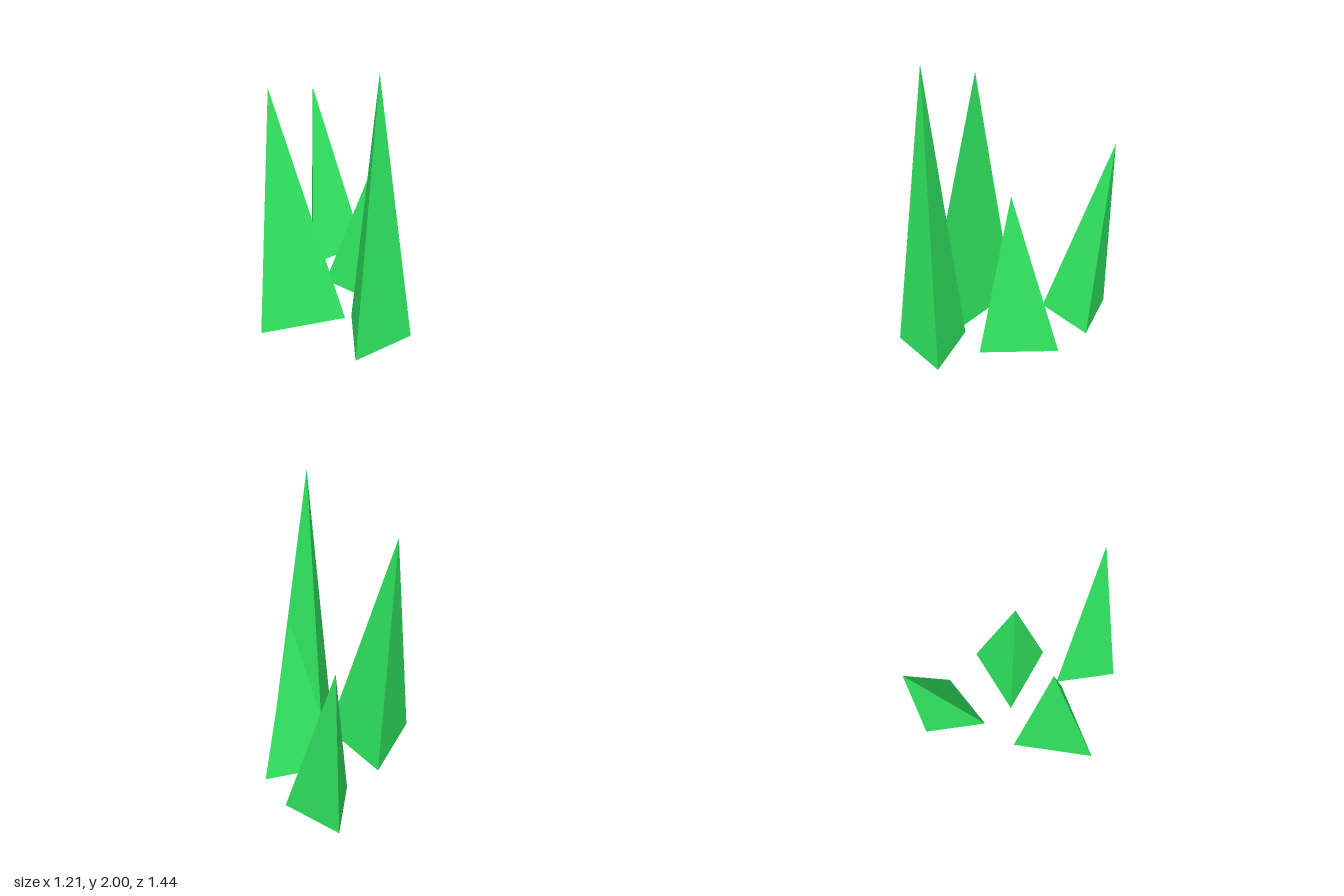
import * as THREE from 'three';

// Three-sided spike: base corners [x, z] run counter-clockwise seen from above
function spikeGeometry(apex, base, y) {
  const top = new THREE.Vector3(...apex);
  const [a, b, c] = base.map(([x, z]) => new THREE.Vector3(x, y, z));
  const faces = [a, b, top, b, c, top, c, a, top, c, b, a];
  const geometry = new THREE.BufferGeometry().setFromPoints(faces);
  geometry.computeVertexNormals();
  return geometry;
}

export function createModel() {
  const group = new THREE.Group();
  group.name = 'grassTuft';
  const green = new THREE.MeshStandardMaterial({ color: 0x30e760 });
  green.name = 'grass green';

  const blades = [
    { name: 'frontBlade', apex: [0, 2, 0.595], y: 0.003, base: [[-0.201, 0.72], [0.254, 0.72], [0.027, 0.327]] },
    { name: 'rightBlade', apex: [-0.358, 1.717, -0.077], y: 0.007, base: [[-0.604, 0.158], [-0.03, 0.333], [-0.167, -0.252]] },
    { name: 'leftBlade', apex: [0.315, 1.123, 0.159], y: 0.01, base: [[0.077, -0.09], [0.283, 0.398], [0.602, -0.026]] },
    { name: 'backBlade', apex: [0.357, 1.261, -0.72], y: 0, base: [[0.105, -0.32], [0.561, -0.32], [0.335, -0.714]] },
  ];
  for (const { name, apex, base, y } of blades) {
    const blade = new THREE.Mesh(spikeGeometry(apex, base, y), green);
    blade.name = name;
    group.add(blade);
  }
  return group;
}
